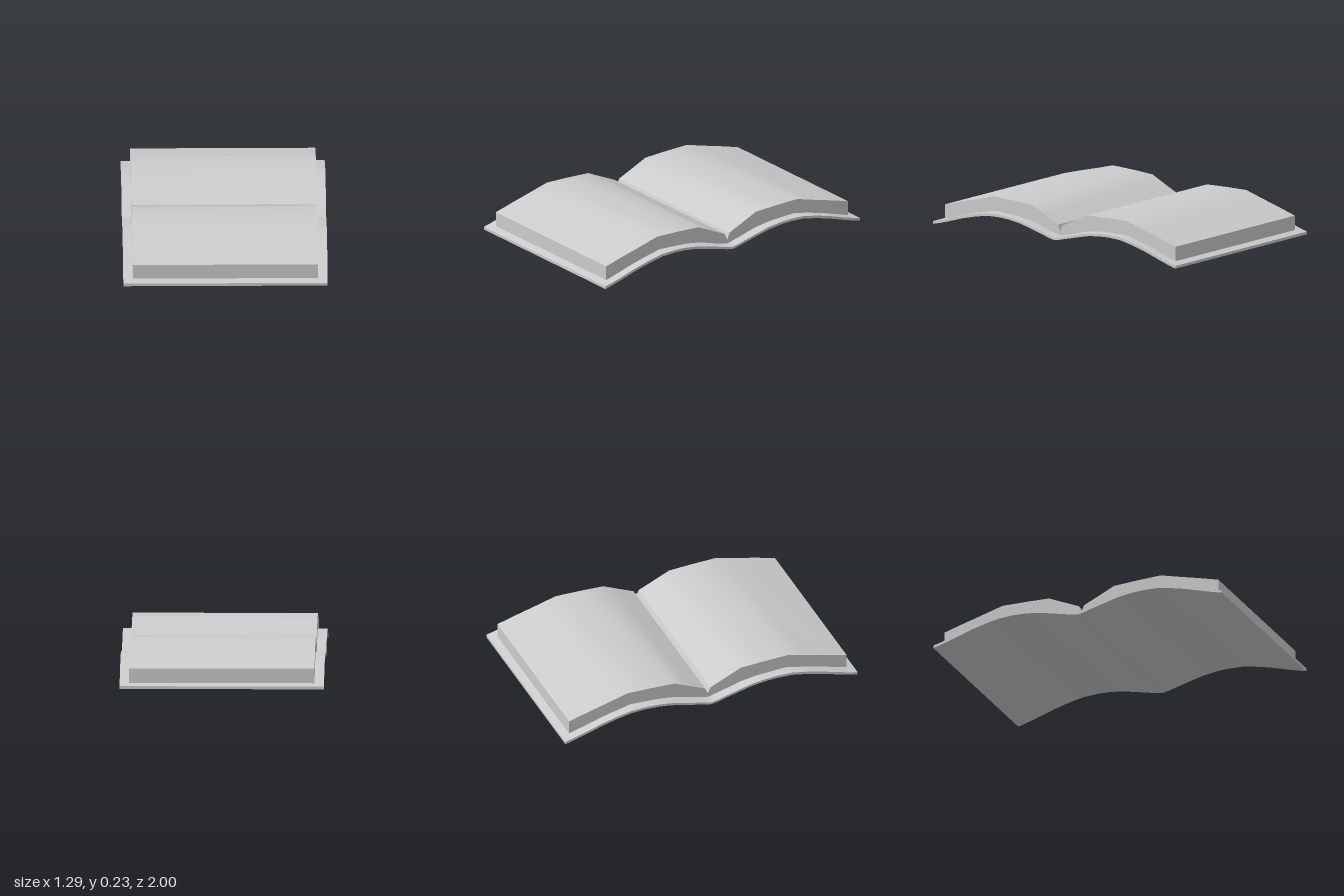
import * as THREE from 'three';
import { toCreasedNormals } from 'three/addons/utils/BufferGeometryUtils.js';

// Half profiles as [distance from the spine, height], spine outward
const coverTop = [[0, 0.055], [0.04, 0.062], [0.1, 0.078], [0.2, 0.103], [0.28, 0.122], [0.37, 0.134],
  [0.45, 0.138], [0.55, 0.134], [0.65, 0.115], [0.75, 0.09], [0.88, 0.05], [0.95, 0.03], [1, 0.018]];
const coverBottom = coverTop.map(([d, y]) => [d, Math.max(0, y - 0.015 - 0.003 * d)]);
const pagesTop = [[0, 0.085], [0.018, 0.127], [0.12, 0.173], [0.225, 0.221], [0.38, 0.228], [0.55, 0.232],
  [0.675, 0.198], [0.82, 0.16], [0.95, 0.124]];
const pagesBottom = [[0, 0.058], [0.1, 0.083], [0.22, 0.117], [0.33, 0.133], [0.43, 0.138], [0.53, 0.143],
  [0.65, 0.116], [0.75, 0.091], [0.88, 0.051], [0.95, 0.031]];

// Mirror a half profile about the spine into one continuous line
const mirrored = (half) => [...half.slice(1).reverse().map(([d, y]) => [-d, y]), ...half];

// Closed cross-section swept along x, smooth over the curves and sharp at the edges
function sweep(name, top, bottom, width, material) {
  const outline = [...mirrored(bottom), ...mirrored(top).reverse()];
  const shape = new THREE.Shape(outline.map(([d, y]) => new THREE.Vector2(d, y)));
  const geometry = new THREE.ExtrudeGeometry(shape, { depth: width, bevelEnabled: false });
  geometry.translate(0, 0, -width / 2);
  geometry.rotateY(Math.PI / 2);
  const mesh = new THREE.Mesh(toCreasedNormals(geometry, 0.6), material);
  mesh.name = name;
  return mesh;
}

export function createModel() {
  const book = new THREE.Group();
  book.name = 'openBook';
  const grey = new THREE.MeshStandardMaterial({ color: 0xcccccc });
  grey.name = 'light grey';
  book.add(
    sweep('cover', coverTop, coverBottom, 1.29, grey),
    sweep('pages', pagesTop, pagesBottom, 1.17, grey),
  );
  return book;
}
